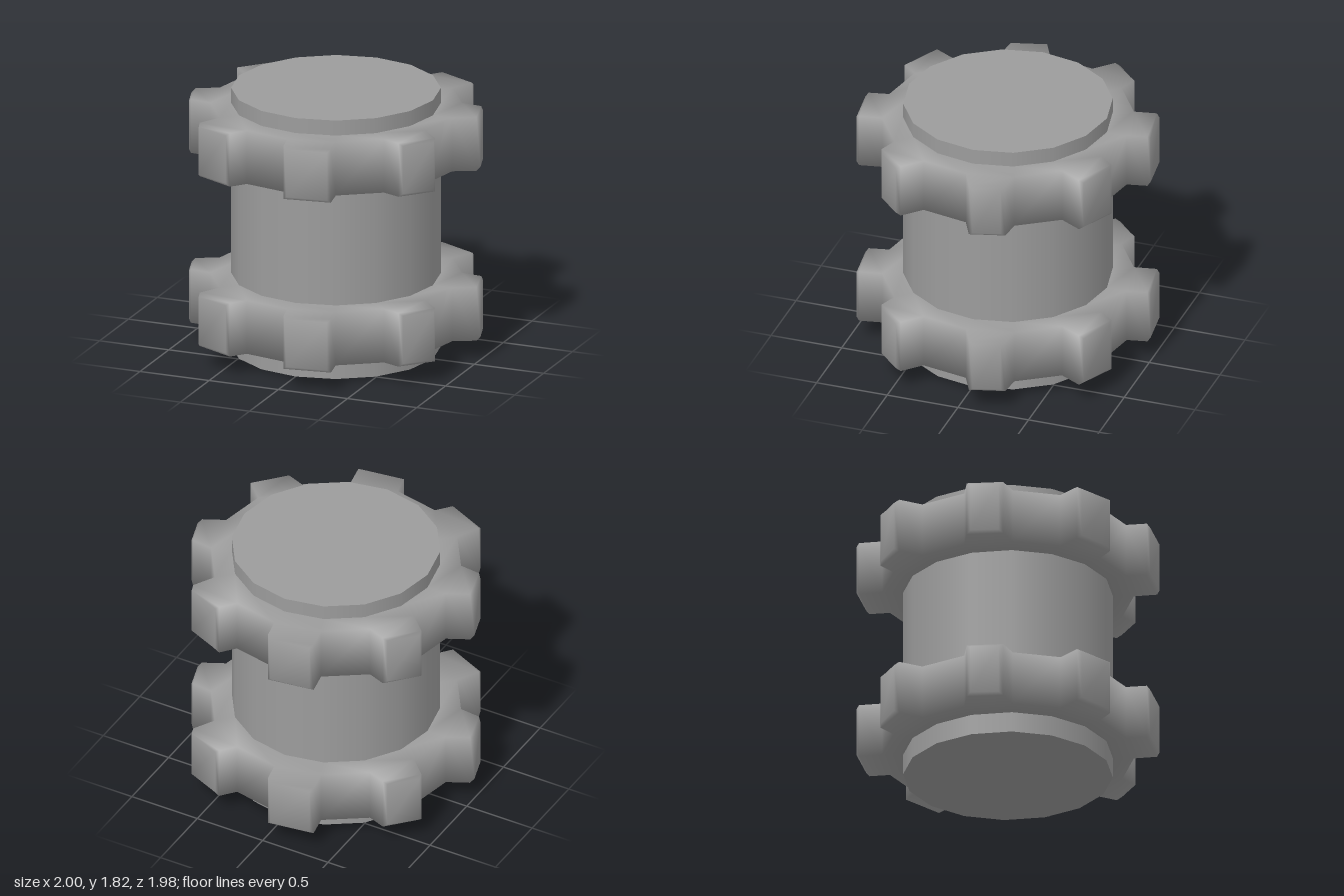
import * as THREE from 'three';
import { mergeVertices } from 'three/addons/utils/BufferGeometryUtils.js';

const material = new THREE.MeshStandardMaterial({ color: 0x9c9c9c });
const TEETH = 8, BASE_R = 0.84, CORE_R = 0.7, HEIGHT = 1.815, GEAR_H = 0.375;
const STEP = Math.PI / TEETH;
const HALF_W = BASE_R * Math.sin(STEP / 2);

// Cross-sections of a tooth from root to tip: radius, width factors along x and z, height inset
const SECTIONS = [
  { r: BASE_R * Math.cos(STEP / 2), sx: 1, sz: 1, inset: 0 },
  { r: 0.972, sx: 1, sz: 0.73, inset: 0 },
  { r: 0.992, sx: 0.87, sz: 0.56, inset: 0.02 },
];

// Four corners of a section, counter-clockwise seen from outside
function corners(k, { r, sx, sz, inset }) {
  const a = (2 * k + 0.5) * STEP, c = Math.cos(a), s = Math.sin(a);
  const lo = inset, hi = GEAR_H - inset;
  return [[-1, lo], [1, lo], [1, hi], [-1, hi]].map(([t, y]) =>
    new THREE.Vector3(r * c - t * HALF_W * s * sx, y, -r * s - t * HALF_W * c * sz));
}

// Smooth normals weighted by the corner angle of each face
function smoothByAngle(geo) {
  const pos = geo.attributes.position, index = geo.index;
  const sums = Array.from({ length: pos.count }, () => new THREE.Vector3());
  for (let i = 0; i < index.count; i += 3) {
    const ids = [0, 1, 2].map(j => index.getX(i + j));
    const p = ids.map(id => new THREE.Vector3().fromBufferAttribute(pos, id));
    const normal = new THREE.Triangle(...p).getNormal(new THREE.Vector3());
    ids.forEach((id, j) => {
      const u = p[(j + 1) % 3].clone().sub(p[j]);
      const v = p[(j + 2) % 3].clone().sub(p[j]);
      sums[id].addScaledVector(normal, u.angleTo(v));
    });
  }
  const normals = sums.flatMap(n => n.normalize().toArray());
  geo.setAttribute('normal', new THREE.Float32BufferAttribute(normals, 3));
  return geo;
}

// Toothed ring around the drum
function gearGeometry() {
  const pos = [];
  const quad = (a, b, c, d) => [a, b, c, a, c, d].forEach(v => pos.push(v.x, v.y, v.z));
  const inner = p => new THREE.Vector3(p.x * CORE_R / BASE_R, p.y, p.z * CORE_R / BASE_R);

  for (let k = 0; k < TEETH; k++) {
    const [root, shoulder, tip] = SECTIONS.map(s => corners(k, s));
    const next = corners((k + 1) % TEETH, SECTIONS[0]);

    // tooth sides, chamfer and end face
    for (const [A, B] of [[root, shoulder], [shoulder, tip]])
      for (let i = 0; i < 4; i++) {
        const j = (i + 1) % 4;
        quad(A[i], A[j], B[j], B[i]);
      }
    quad(...tip);

    // valley wall between teeth
    quad(root[1], next[0], next[3], root[2]);

    // flat ring above and below
    for (const [a, b] of [[root[3], root[2]], [root[2], next[3]]])
      quad(inner(a), a, b, inner(b));
    for (const [a, b] of [[root[0], root[1]], [root[1], next[0]]])
      quad(inner(b), b, a, inner(a));
  }

  const geo = new THREE.BufferGeometry();
  geo.setAttribute('position', new THREE.Float32BufferAttribute(pos, 3));
  return smoothByAngle(mergeVertices(geo, 1e-4));
}

export function createModel() {
  const group = new THREE.Group();
  group.name = 'toothedSpool';

  // central drum
  const drum = new THREE.Mesh(new THREE.CylinderGeometry(CORE_R, CORE_R, HEIGHT, 16), material);
  drum.name = 'drum';
  drum.position.y = HEIGHT / 2;
  group.add(drum);

  // two identical toothed rings
  const gearGeo = gearGeometry();
  for (const [name, y] of [['lowerGear', 0.142], ['upperGear', 1.335]]) {
    const gear = new THREE.Mesh(gearGeo, material);
    gear.name = name;
    gear.position.y = y;
    group.add(gear);
  }
  return group;
}
